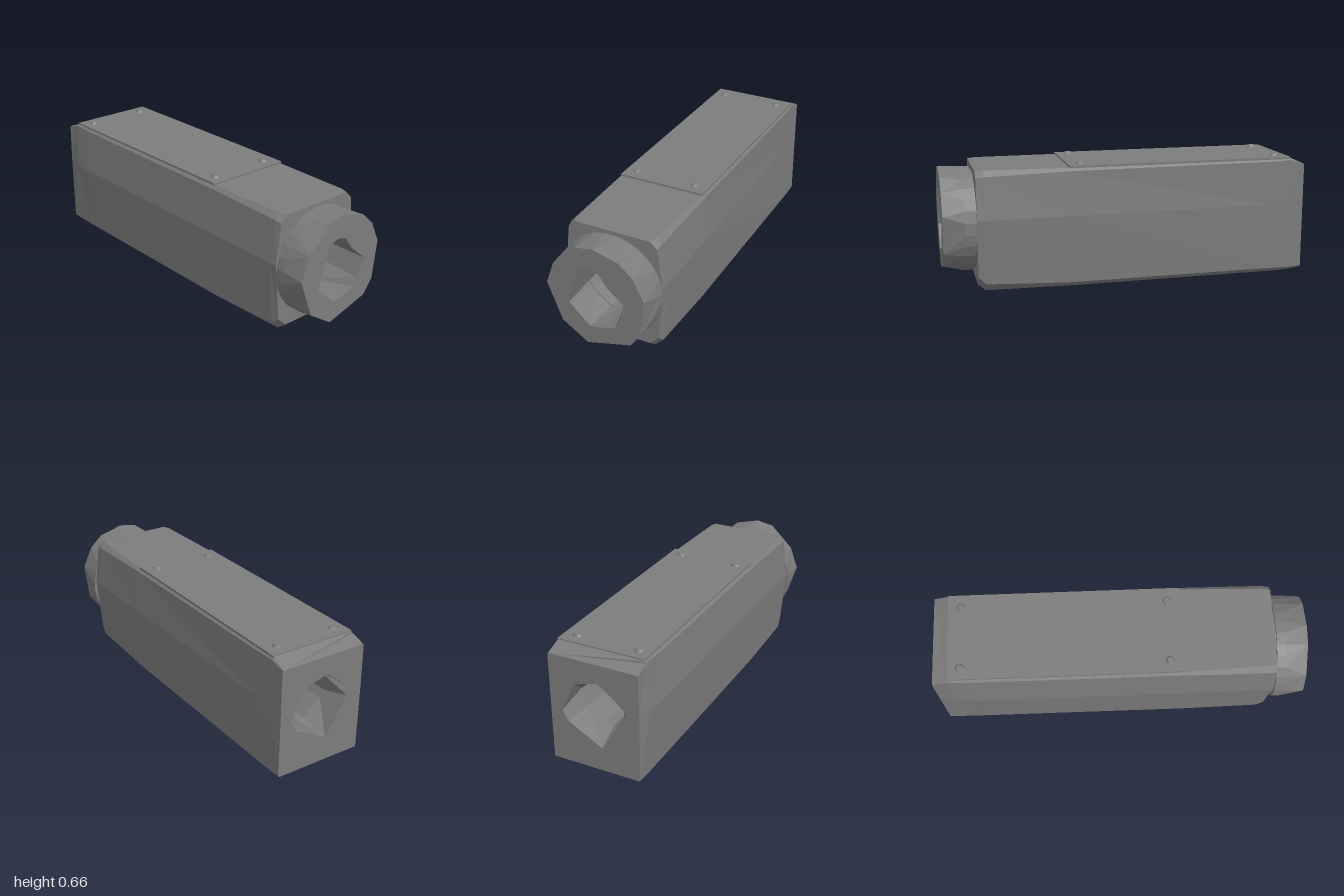
import * as THREE from 'three';

const CY = 0.34; // height of the bore axis

// Sort an outline counter-clockwise around the bore axis
const angle = ([x, y]) => {
  const a = Math.atan2(y - CY, x);
  return a < 0 ? a + Math.PI * 2 : a;
};
const ordered = (pts) => [...pts].sort((p, q) => angle(p) - angle(q));

// Regular round outline
const circle = (r, n, cy = 0.35) => Array.from({ length: n }, (_, i) => {
  const a = ((i + 0.5) / n) * Math.PI * 2;
  return [r * Math.cos(a), cy + r * Math.sin(a)];
});

// Stitch two outlines with any number of corners; a lies behind b
function stitch(out, a, za, b, zb, inward = false) {
  a = ordered(a);
  b = ordered(b);
  const at = (l, i, z) => [...l[i % l.length], z];
  const turn = (l, i) => angle(l[i % l.length]) + Math.floor(i / l.length) * Math.PI * 2;
  let i = 0, j = 0;
  while (i < a.length || j < b.length) {
    const stepA = j >= b.length || (i < a.length && turn(a, i + 1) <= turn(b, j + 1));
    const p = at(a, i, za), q = at(b, j, zb);
    const r = stepA ? at(a, ++i, za) : at(b, ++j, zb);
    out.push(...(inward ? [...p, ...q, ...r] : [...p, ...r, ...q]));
  }
}

// Flat end face with an opening
function cap(out, outline, opening, z, back = false) {
  const toV = (l) => ordered(l).map(([x, y]) => new THREE.Vector2(x, y));
  const shape = new THREE.Shape(toV(outline));
  shape.holes.push(new THREE.Path(toV(opening)));
  const p = new THREE.ShapeGeometry(shape).toNonIndexed().attributes.position;
  for (let t = 0; t < p.count; t += 3) {
    for (const k of back ? [0, 2, 1] : [0, 1, 2]) out.push(p.getX(t + k), p.getY(t + k), z);
  }
}

function meshFrom(out, material, name) {
  const g = new THREE.BufferGeometry();
  g.setAttribute('position', new THREE.Float32BufferAttribute(out, 3));
  g.computeVertexNormals();
  const m = new THREE.Mesh(g, material);
  m.name = name;
  return m;
}

// Housing cross-section: bulged sides and chamfered corners
const section = (right, left, top, bottom, edge, cut) => [
  [right, 0.39], [edge, top - cut], [edge - cut, top],
  [cut - edge, top], [-edge, top - cut], [-left, 0.39],
  [-edge, bottom + cut * 1.5], [cut * 1.5 - edge, bottom],
  [edge - cut * 1.5, bottom], [edge, bottom + cut * 1.5],
];

export function createModel() {
  const group = new THREE.Group();
  const metal = new THREE.MeshStandardMaterial({ color: 0x7c7c7c, flatShading: true });
  metal.name = 'greyMetal';

  // Irregular bore outlines
  const frontHole = [[0.17, 0.355], [0.07, 0.44], [0.02, 0.51], [-0.03, 0.525], [-0.09, 0.505],
    [-0.155, 0.29], [-0.11, 0.245], [-0.04, 0.18], [0.035, 0.195], [0.1, 0.215], [0.125, 0.26]];
  const bore = [[0.165, 0.355], [0.07, 0.44], [0.015, 0.49], [-0.04, 0.485], [-0.11, 0.43],
    [-0.145, 0.31], [-0.12, 0.27], [-0.02, 0.19], [0.03, 0.195], [0.125, 0.265]];
  const backHole = [[0.107, 0.475], [-0.027, 0.51], [-0.18, 0.39], [-0.16, 0.35],
    [-0.037, 0.15], [0.15, 0.255], [0.18, 0.31]];

  // Housing
  const rings = [
    [-1, section(0.245, 0.247, 0.61, 0.02, 0.245, 0.004)],
    [-0.92, section(0.248, 0.262, 0.645, 0.004, 0.245, 0.012)],
    [-0.8, section(0.252, 0.273, 0.645, 0, 0.247, 0.016)],
    [0.33, section(0.27, 0.273, 0.641, 0, 0.25, 0.016)],
    [0.77, section(0.274, 0.273, 0.643, 0, 0.25, 0.03)],
    [0.81, section(0.272, 0.272, 0.64, 0.03, 0.245, 0.035)],
  ];
  const body = [];
  for (let i = 0; i + 1 < rings.length; i++) {
    stitch(body, rings[i][1], rings[i][0], rings[i + 1][1], rings[i + 1][0]);
  }
  cap(body, rings[0][1], backHole, -1, true);
  cap(body, rings[5][1], bore, 0.81);
  group.add(meshFrom(body, metal, 'housing'));

  // Through bore, flared at both ends
  const tube = [];
  stitch(tube, backHole, -1, bore, -0.85, true);
  stitch(tube, bore, -0.85, bore, 0.75, true);
  stitch(tube, bore, 0.75, frontHole, 0.985, true);
  group.add(meshFrom(tube, metal, 'bore'));

  // Front collar: round behind, faceted rim in front
  const rim = [[0.265, 0.42], [0.21, 0.535], [0.14, 0.6], [0, 0.638], [-0.1, 0.62], [-0.23, 0.495],
    [-0.276, 0.37], [-0.2, 0.165], [-0.06, 0.072], [0.185, 0.14], [0.24, 0.215]];
  const round = circle(0.28, 28);
  const neckRing = circle(0.262, 28);
  const collar = [];
  stitch(collar, neckRing, 0.8, neckRing, 0.825);
  cap(collar, round, bore, 0.822, true);
  stitch(collar, round, 0.822, round, 0.87);
  stitch(collar, round, 0.87, rim, 0.985);
  cap(collar, rim, frontHole, 0.985);
  group.add(meshFrom(collar, metal, 'collar'));

  // Cover plate on top
  const plate = new THREE.Mesh(new THREE.BoxGeometry(0.475, 0.012, 1.235), metal);
  plate.name = 'coverPlate';
  plate.position.set(0.002, 0.645, -0.3);
  group.add(plate);

  // Cover bolts
  const boltGeo = new THREE.CylinderGeometry(0.017, 0.028, 0.014, 7);
  for (const x of [-0.172, 0.167]) {
    for (const z of [-0.85, 0.25]) {
      const bolt = new THREE.Mesh(boltGeo, metal);
      bolt.name = 'coverBolt';
      bolt.position.set(x, 0.656, z);
      group.add(bolt);
    }
  }

  group.position.z = 0.0075;
  const model = new THREE.Group();
  model.name = 'boredHousing';
  model.add(group);
  return model;
}
